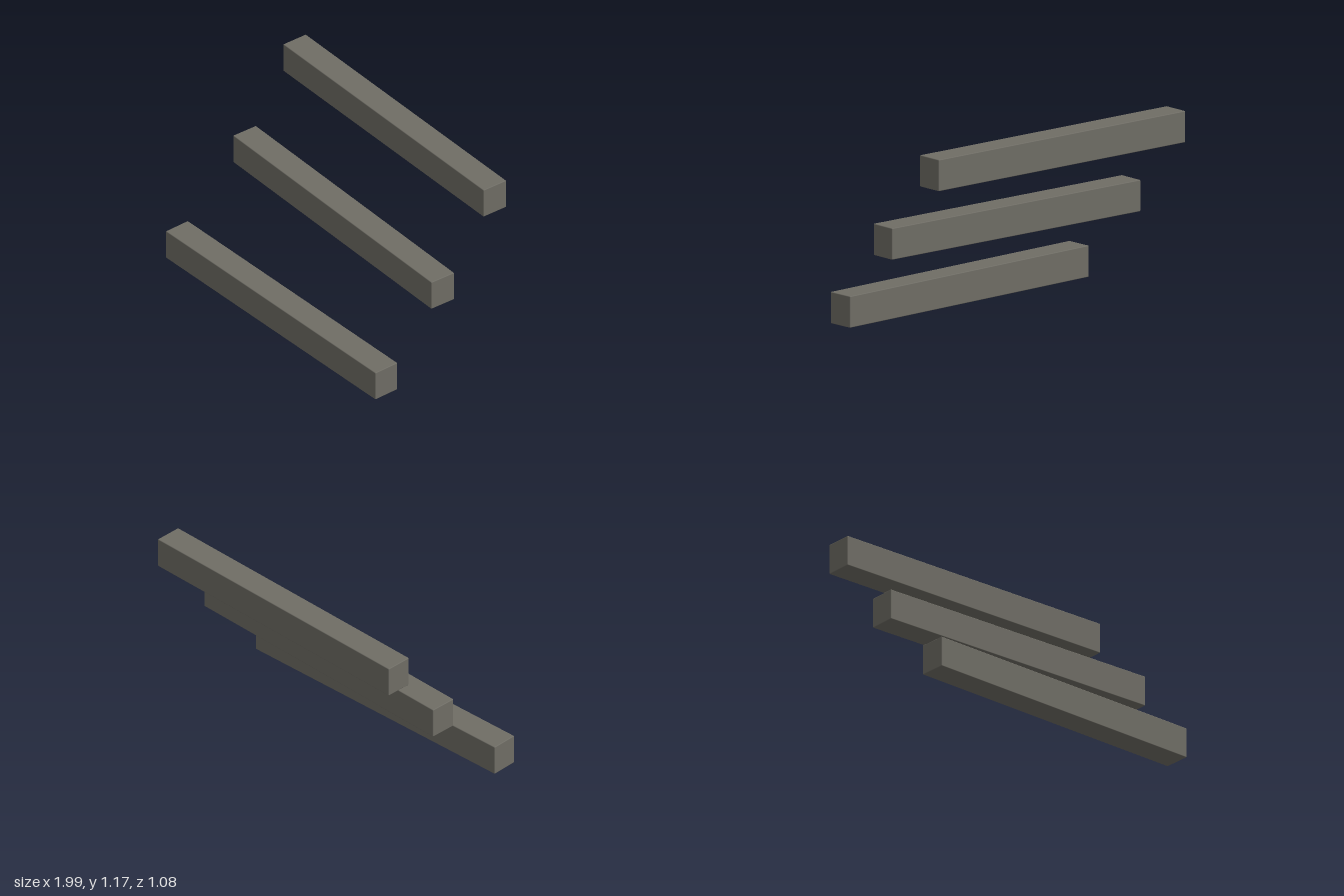
import * as THREE from 'three';
import { RoundedBoxGeometry } from 'three/addons/geometries/RoundedBoxGeometry.js';

export function createModel() {
  const model = new THREE.Group();
  model.name = 'floatingBeams';

  const material = new THREE.MeshStandardMaterial({ color: 0x6f6d65 });
  material.name = 'weathered grey';

  // One square beam with slightly softened edges, shared by all three
  const beam = new RoundedBoxGeometry(1.943, 0.192, 0.17, 2, 0.005);

  // Each beam: name, centre, and a slight turn about the vertical axis
  const beams = [
    ['lowerBeam', -0.028, 0.097, 0.438, -0.0154],
    ['middleBeam', 0.015, 0.587, -0.01, -0.0595],
    ['upperBeam', 0.02, 1.073, -0.405, -0.0514],
  ];
  for (const [name, x, y, z, turn] of beams) {
    const mesh = new THREE.Mesh(beam, material);
    mesh.name = name;
    mesh.position.set(x, y, z);
    mesh.rotation.y = turn;
    model.add(mesh);
  }
  return model;
}
